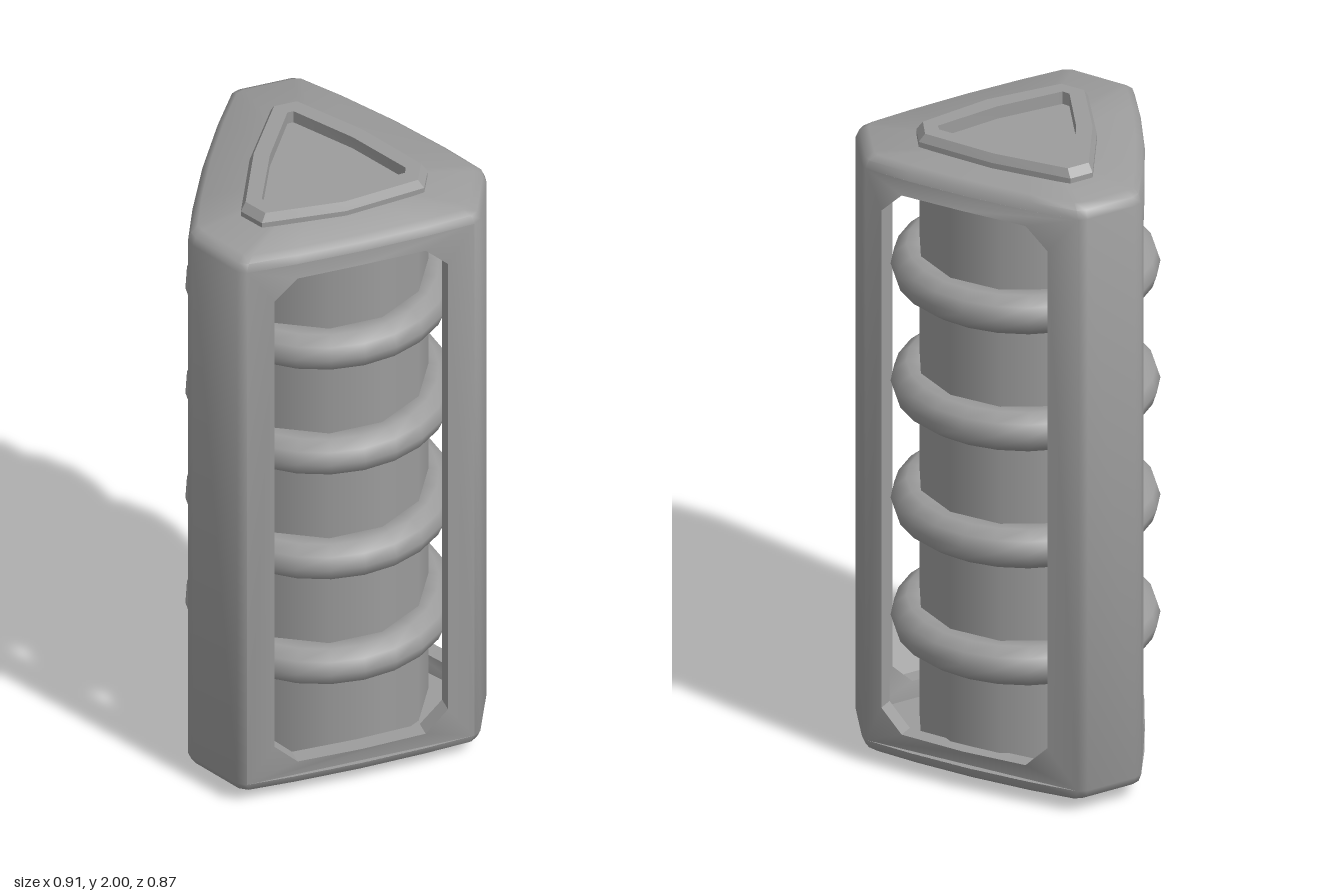
import * as THREE from 'three';
import { mergeGeometries, toCreasedNormals } from 'three/addons/utils/BufferGeometryUtils.js';

const material = new THREE.MeshStandardMaterial({ color: 0x9c9c9c });
const THIRD = Math.PI * 2 / 3;
const WALL = 0.05, EDGE = 0.35;
const LOW = 0.075, HIGH = 1.925;

// The front is flatter and further out than the two rear sides;
// the rear windows sit slightly towards the front
const SIDES = [
  { mid: 0.36, drop: 0.013, end: [0.375, 0.33], shift: 0 },
  { mid: 0.346, drop: 0.02, end: [0.372, 0.308], shift: -0.02 },
  { mid: 0.346, drop: 0.02, end: [0.372, 0.308], shift: 0.02 },
];

// Slightly bowed distance of a side from the axis
const bow = (side, t) => side.mid - side.drop * (t / EDGE) ** 2;

// Point [t along, d out] of side k as [x, z]
function place(k, [t, d]) {
  const c = Math.cos(k * THIRD), s = Math.sin(k * THIRD);
  return [t * c + d * s, d * c - t * s];
}

// Closed outline from half a front side and half a rear side
function threeSided(front, rear) {
  return [front, rear, rear].flatMap((half, k) =>
    [...half.slice(1).reverse().map(([t, d]) => [-t, d]), ...half].map(p => place(k, p)));
}

// Loft through [outline, scale, y] sections
function loft(sections) {
  const n = sections[0][0].length, pos = [], index = [];
  for (const [outline, s, y] of sections)
    for (const [x, z] of outline) pos.push(x * s, y, z * s);
  for (let i = 0; i < sections.length - 1; i++)
    for (let j = 0; j < n; j++) {
      const a = i * n + j, b = i * n + (j + 1) % n;
      index.push(a, b, a + n, b, b + n, a + n);
    }
  const g = new THREE.BufferGeometry();
  g.setAttribute('position', new THREE.Float32BufferAttribute(pos, 3));
  g.setIndex(index);
  g.computeVertexNormals();
  return g.toNonIndexed();
}

// Same sections turned over for the bottom end
const flip = sections => sections.map(([o, s, y]) => [o, s, 2 - y]).reverse();

// Side wall with a chamfered window, bent to the bow
function sidePanel(k) {
  const side = SIDES[k], half = k ? 0.275 : 0.267;
  const arch = t => HIGH + 0.0005 * (1 - (t / EDGE) ** 2);
  const v = (x, y) => new THREE.Vector2(x, y);
  const band = (upper, shift) => [
    ...upper.map(([x, y]) => v(x + shift, y)),
    ...upper.slice().reverse().map(([x, y]) => v(x + shift, 2 - y)),
  ];
  const shape = new THREE.Shape(band([EDGE, 0.2, 0, -0.2, -EDGE].map(t => [t, arch(t)]), 0));
  const chamfer = half - 0.07;
  shape.holes.push(new THREE.Path(band(
    [[half, 1.805], [chamfer, 1.873], [0, 1.875], [-chamfer, 1.873], [-half, 1.805]], side.shift)));
  const g = new THREE.ExtrudeGeometry(shape, { depth: WALL, bevelEnabled: false });
  const p = g.attributes.position;
  for (let i = 0; i < p.count; i++)
    p.setZ(i, bow(side, p.getX(i)) - WALL + p.getZ(i));
  g.computeVertexNormals();
  g.deleteAttribute('uv');
  return g.rotateY(k * THIRD);
}

// Solid rounded post between side k and the next one
function cornerPost(k) {
  const next = (k + 1) % 3, a = SIDES[k], b = SIDES[next];
  const da = bow(a, EDGE), db = bow(b, EDGE);
  const pts = [
    ...[[EDGE, da - WALL], [EDGE, da], a.end].map(p => place(k, p)),
    ...[[-b.end[0], b.end[1]], [-EDGE, db], [-EDGE, db - WALL]].map(p => place(next, p)),
  ].map(([x, z]) => new THREE.Vector2(x, -z));
  const g = new THREE.ExtrudeGeometry(new THREE.Shape(pts), { depth: HIGH - LOW, bevelEnabled: false });
  g.deleteAttribute('uv');
  return g.rotateX(-Math.PI / 2).translate(0, LOW, 0);
}

// Rear sides, posts and closed ends
function cageGeometry() {
  const halves = SIDES.slice(0, 2).map(s => [...[0, 0.2, EDGE].map(t => [t, bow(s, t)]), s.end]);
  const outline = threeSided(...halves);
  const end = [[outline, 0, HIGH], [outline, 1, HIGH], [outline, 0.978, 1.95],
    [outline, 0.925, 1.965], [outline, 0, 1.945]];
  return toCreasedNormals(mergeGeometries([
    loft(end), loft(flip(end)), sidePanel(1), sidePanel(2), ...[0, 1, 2].map(cornerPost),
  ]), 0.75);
}

export function createModel() {
  const model = new THREE.Group();
  model.name = 'cagedCanister';
  const body = new THREE.Group();
  body.name = 'body';
  body.position.z = 0.04;
  model.add(body);
  const add = (name, geometry) => {
    const mesh = new THREE.Mesh(geometry, material);
    mesh.name = name;
    body.add(mesh);
    return mesh;
  };

  add('outerCage', cageGeometry());
  add('frontFrame', toCreasedNormals(sidePanel(0), 0.5));

  // Raised triangular rims with a sunken centre at both ends
  const outer = threeSided([[0, 0.225], [0.25, 0.197]], [[0, 0.207], [0.25, 0.188]]);
  const inner = threeSided([[0, 0.157], [0.212, 0.14]], [[0, 0.147], [0.212, 0.133]]);
  const rim = [[outer, 1, 1.945], [outer, 1, 1.975], [outer, 0.94, 2],
    [inner, 1, 2], [inner, 1, 1.96], [inner, 0, 1.96]];
  add('topRim', toCreasedNormals(loft(rim), 0.4));
  add('bottomRim', toCreasedNormals(loft(flip(rim)), 0.4));

  // Inner core with four rings
  add('core', new THREE.CylinderGeometry(0.316, 0.316, HIGH - LOW, 12, 1, false, Math.PI / 12)).position.y = 1;
  for (let i = 0; i < 4; i++) {
    const ring = add('coreRing', new THREE.TorusGeometry(0.325, 0.066, 10, 24));
    ring.rotation.x = Math.PI / 2;
    ring.position.y = 0.427 + i * 0.379;
  }
  return model;
}
